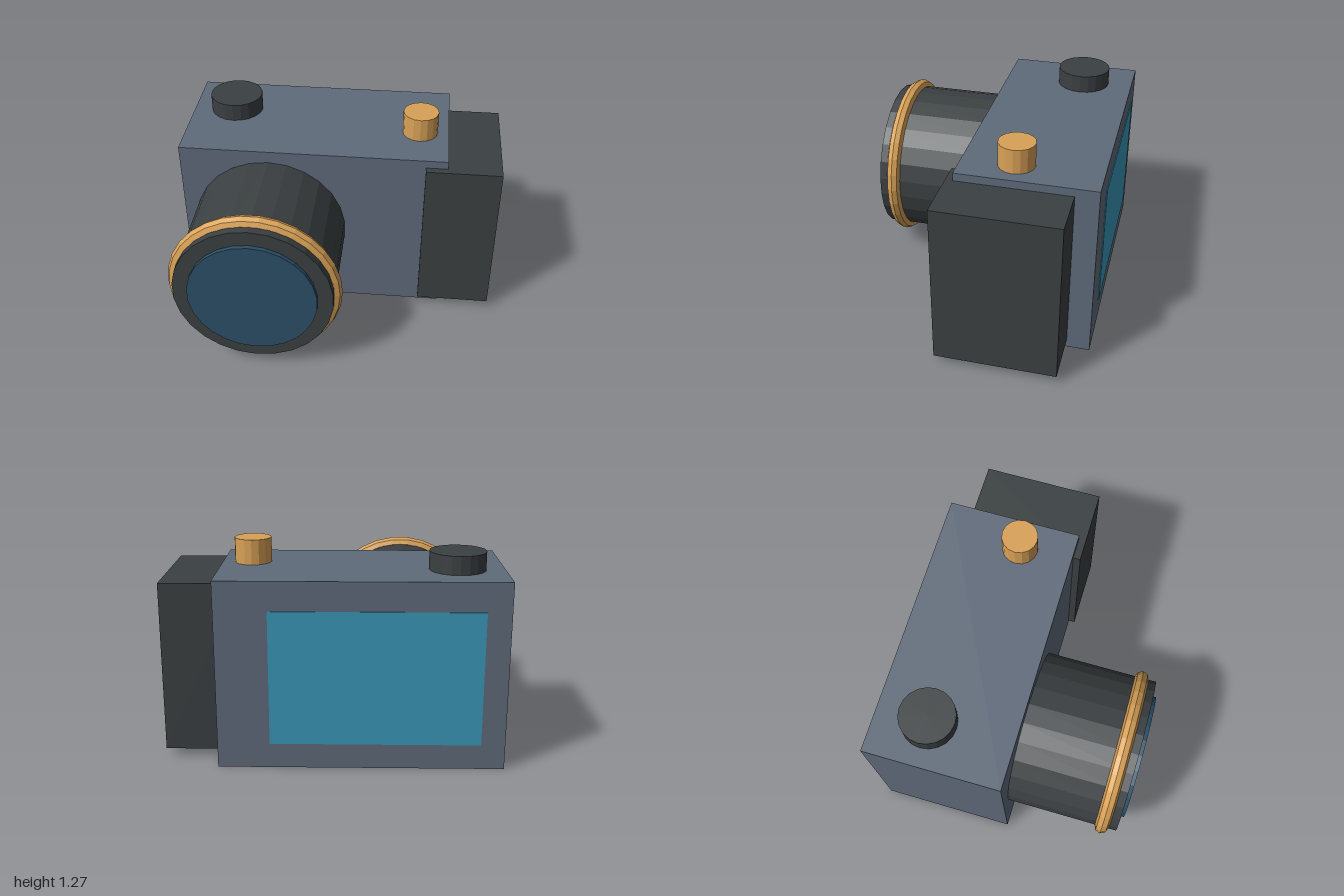
import * as THREE from 'three';

const material = (color) => new THREE.MeshStandardMaterial({ color, flatShading: true });
const slate = material(0x5f6b7a);
const dark = material(0x3b4042);
const brass = material(0xd9a257);
const glass = material(0x2b5068);
const screenBlue = material(0x3a98b8);

export function createModel() {
  const model = new THREE.Group();
  model.name = 'camera';

  const add = (name, geometry, mat) => {
    const mesh = new THREE.Mesh(geometry, mat);
    mesh.name = name;
    model.add(mesh);
    return mesh;
  };

  // Box given by its minimum and maximum corners
  const box = (name, mat, [x0, y0, z0], [x1, y1, z1]) =>
    add(name, new THREE.BoxGeometry(x1 - x0, y1 - y0, z1 - z0), mat)
      .position.set((x0 + x1) / 2, (y0 + y1) / 2, (z0 + z1) / 2);

  // Upright cylinder for the controls on top
  const knob = (name, mat, x, z, radius, top, sides) => {
    const base = 1.1;
    add(name, new THREE.CylinderGeometry(radius, radius, top - base, sides), mat)
      .position.set(x, (top + base) / 2, z);
  };

  // Cylinder along z, on the lens axis
  const lensX = -0.443, lensY = 0.56;
  const lensPart = (name, mat, radius, z0, z1) => {
    const geometry = new THREE.CylinderGeometry(radius, radius, z1 - z0, 26);
    geometry.rotateX(Math.PI / 2);
    add(name, geometry, mat).position.set(lensX, lensY, (z0 + z1) / 2);
  };

  // Body, side grip and rear display
  box('body', slate, [-1, 0, -0.775], [0.67, 1.12, 0.06]);
  box('grip', dark, [0.535, 0.05, -0.635], [1, 1.07, 0.105]);
  box('rearScreen', screenBlue, [-0.86, 0.15, -0.78], [0.365, 0.948, -0.76]);

  // Lens barrel, front glass and focus ring
  lensPart('lensBarrel', dark, 0.484, 0.04, 0.757);
  lensPart('lensGlass', glass, 0.39, 0.74, 0.783);
  add('focusRing', new THREE.TorusGeometry(0.484, 0.044, 8, 30), brass)
    .position.set(lensX, lensY, 0.665);

  // Top controls
  knob('modeDial', dark, -0.722, -0.455, 0.167, 1.23, 20);
  knob('shutterButton', brass, 0.487, -0.268, 0.111, 1.27, 16);

  return model;
}
